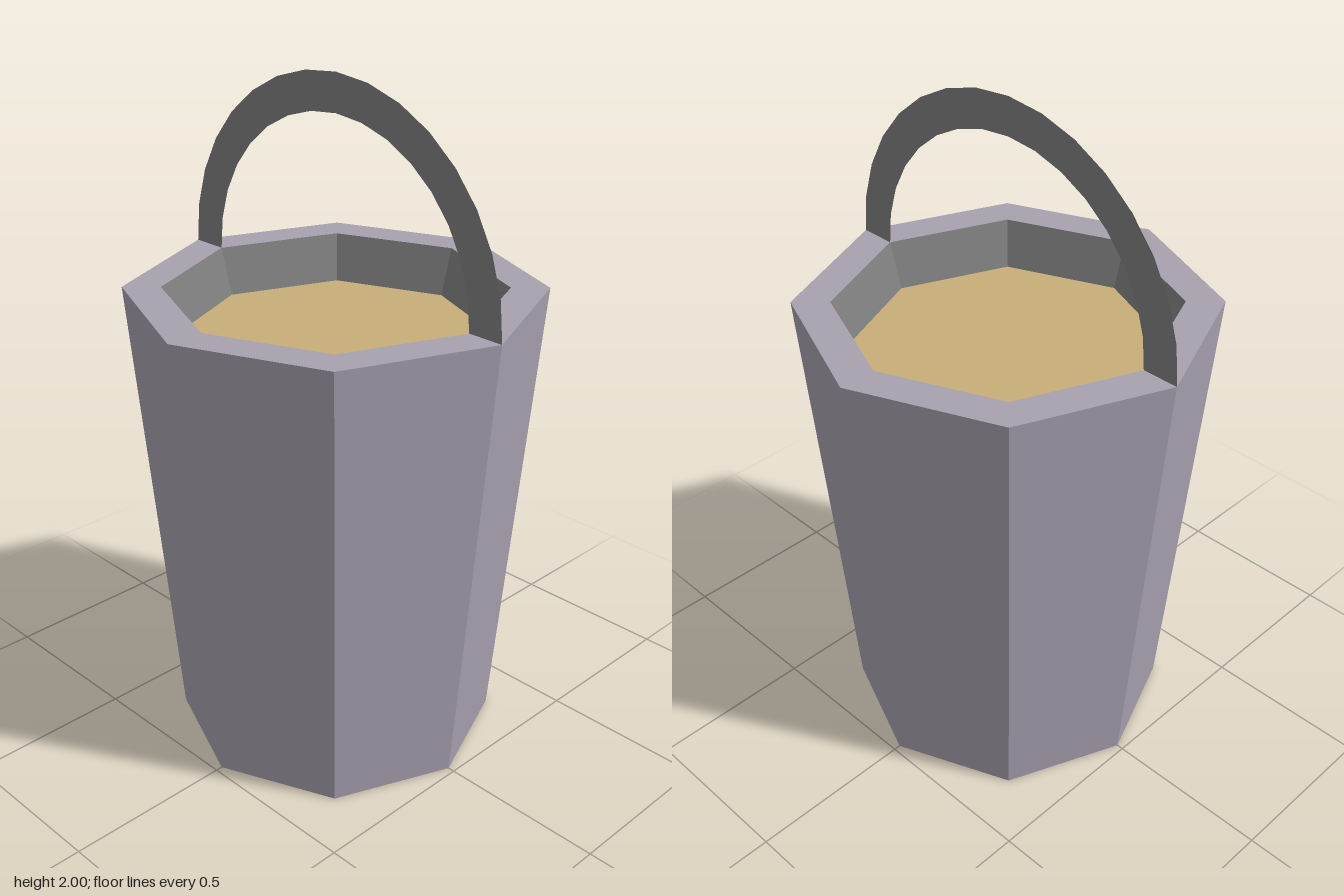
import * as THREE from 'three';

const SIDES = 8;
const RIM_Y = 1.4;
const FILL_Y = 1.26;

function flat(name, color, side = THREE.FrontSide) {
  const material = new THREE.MeshStandardMaterial({ color, flatShading: true, side });
  material.name = name;
  return material;
}

// Eight-sided surface turned from [radius, height] points
function turned(name, points, material) {
  const profile = points.map(([r, y]) => new THREE.Vector2(r, y));
  const mesh = new THREE.Mesh(new THREE.LatheGeometry(profile, SIDES), material);
  mesh.name = name;
  return mesh;
}

export function createModel() {
  const model = new THREE.Group();
  model.name = 'bucket';

  const shell = flat('mauve grey', 0xa8a2b0);
  const metal = flat('dark grey', 0x808080, THREE.DoubleSide);
  const sand = flat('sand', 0xc7ae78);

  // Base, tapered outer wall and flat rim
  model.add(turned('bucketBody', [[0, 0], [0.48, 0], [0.6, RIM_Y], [0.49, RIM_Y]], shell));

  // Inner wall down to the contents
  model.add(turned('innerWall', [[0.49, RIM_Y], [0.45, FILL_Y]], metal));

  // Flat surface of the contents
  model.add(turned('contents', [[0.45, FILL_Y], [0, FILL_Y]], sand));

  // Flat half-ring handle standing on the rim
  const handle = new THREE.Mesh(new THREE.RingGeometry(0.49, 0.6, 16, 1, 0, Math.PI), metal);
  handle.name = 'handle';
  handle.position.y = RIM_Y;
  model.add(handle);

  return model;
}
